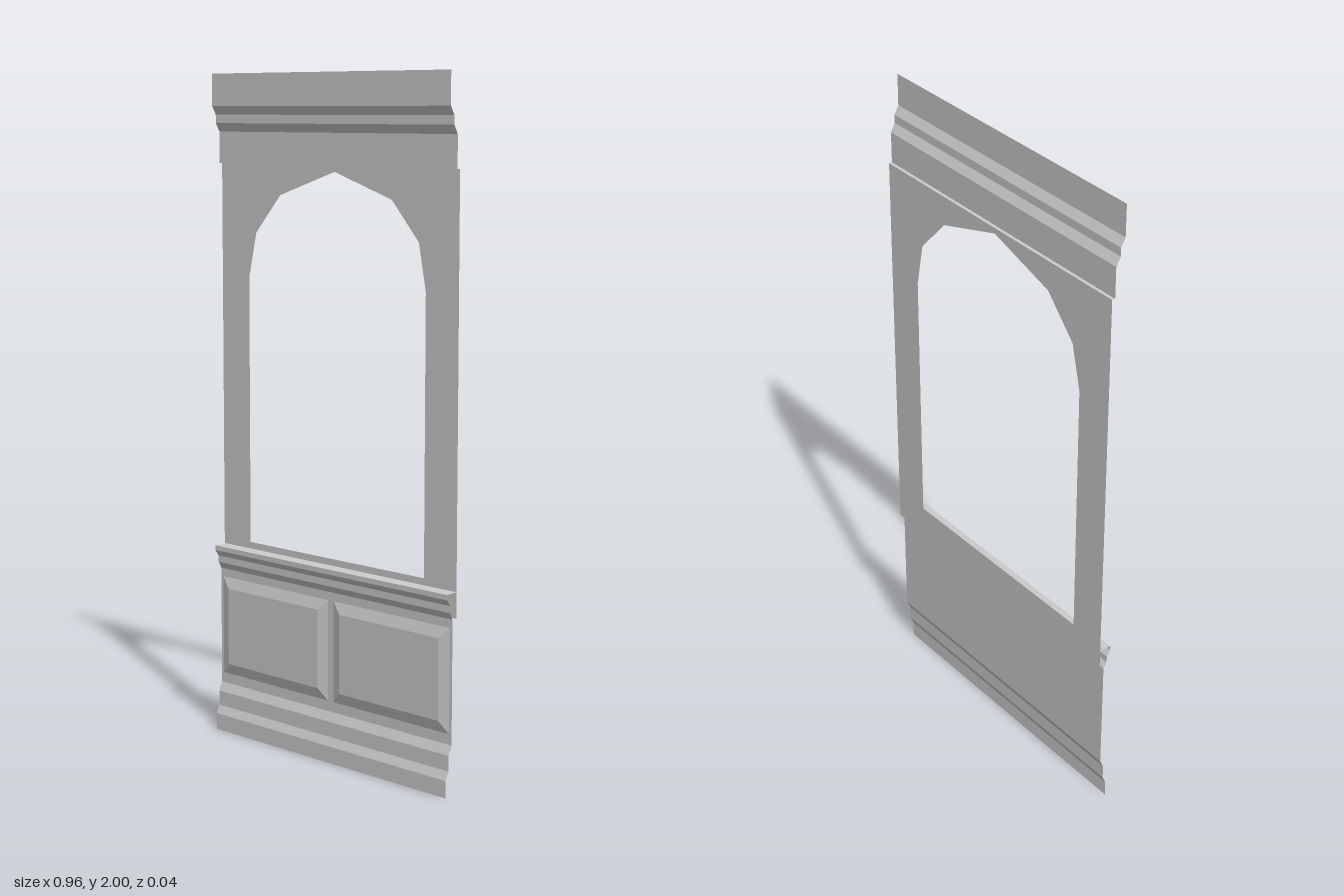
import * as THREE from 'three';

const HALF = 0.48;      // half width of the wall section
const WALL_Z = -0.02;   // plane of the window wall
const PANEL_Z = -0.005; // plane of the lower wall

const material = new THREE.MeshStandardMaterial({
  color: 0xcccccc, flatShading: true, side: THREE.DoubleSide,
});

// Sheet made by sweeping a [y, z] profile (listed bottom to top) across the width
function molding(name, profile) {
  const pos = [];
  for (let i = 0; i < profile.length - 1; i++) {
    const [y0, z0] = profile[i], [y1, z1] = profile[i + 1];
    pos.push(-HALF, y0, z0, HALF, y0, z0, HALF, y1, z1);
    pos.push(-HALF, y0, z0, HALF, y1, z1, -HALF, y1, z1);
  }
  return sheet(name, pos);
}

function sheet(name, pos) {
  const geo = new THREE.BufferGeometry();
  geo.setAttribute('position', new THREE.Float32BufferAttribute(pos, 3));
  geo.computeVertexNormals();
  const mesh = new THREE.Mesh(geo, material);
  mesh.name = name;
  return mesh;
}

// Raised panel: four sloping borders around a flat field, open at the back
function raisedPanel(name, x0, x1, y0, y1, bevel, depth) {
  const ring = (d, z) => [
    [x0 + d, y0 + d, z], [x1 - d, y0 + d, z], [x1 - d, y1 - d, z], [x0 + d, y1 - d, z],
  ];
  const outer = ring(0, PANEL_Z), inner = ring(bevel, PANEL_Z + depth);
  const pos = [];
  const quad = (a, b, c, d) => pos.push(...a, ...b, ...c, ...a, ...c, ...d);
  for (let i = 0; i < 4; i++) {
    const j = (i + 1) % 4;
    quad(outer[i], outer[j], inner[j], inner[i]);
  }
  quad(...inner);
  return sheet(name, pos);
}

// Flat wall with a faceted pointed-arch opening
function windowWall() {
  const shape = new THREE.Shape([
    [-HALF, 0.505], [HALF, 0.505], [HALF, 1.737], [-HALF, 1.737],
  ].map(([x, y]) => new THREE.Vector2(x, y)));
  shape.holes.push(new THREE.Path([
    [-0.362, 0.6], [-0.362, 1.4], [-0.33, 1.535], [-0.226, 1.648], [0, 1.72],
    [0.226, 1.648], [0.33, 1.535], [0.357, 1.4], [0.357, 0.6],
  ].map(([x, y]) => new THREE.Vector2(x, y))));
  const mesh = new THREE.Mesh(new THREE.ShapeGeometry(shape), material);
  mesh.position.z = WALL_Z;
  mesh.name = 'windowWall';
  return mesh;
}

export function createModel() {
  const group = new THREE.Group();
  group.name = 'archedWindowWall';

  // Stepped baseboard running up into the flat lower wall
  group.add(molding('baseboardAndLowerWall', [
    [0, 0.018], [0.05, 0.018], [0.075, 0.007], [0.12, 0.007], [0.147, PANEL_Z], [0.505, PANEL_Z],
  ]));

  // Two raised panels
  group.add(raisedPanel('rightPanel', -0.47, -0.012, 0.178, 0.48, 0.033, 0.01));
  group.add(raisedPanel('leftPanel', 0.012, 0.47, 0.178, 0.48, 0.033, 0.01));

  // Chair rail with a ledge back to the window wall
  group.add(molding('chairRail', [
    [0.505, PANEL_Z], [0.525, 0.006], [0.545, 0.006], [0.563, 0.018], [0.578, 0.018], [0.58, WALL_Z],
  ]));

  group.add(windowWall());

  // Stepped cornice, stepping forward toward the top
  group.add(molding('cornice', [
    [1.737, WALL_Z], [1.737, -0.01], [1.83, -0.01], [1.855, 0.004],
    [1.88, 0.004], [1.905, 0.018], [2, 0.018],
  ]));

  return group;
}
